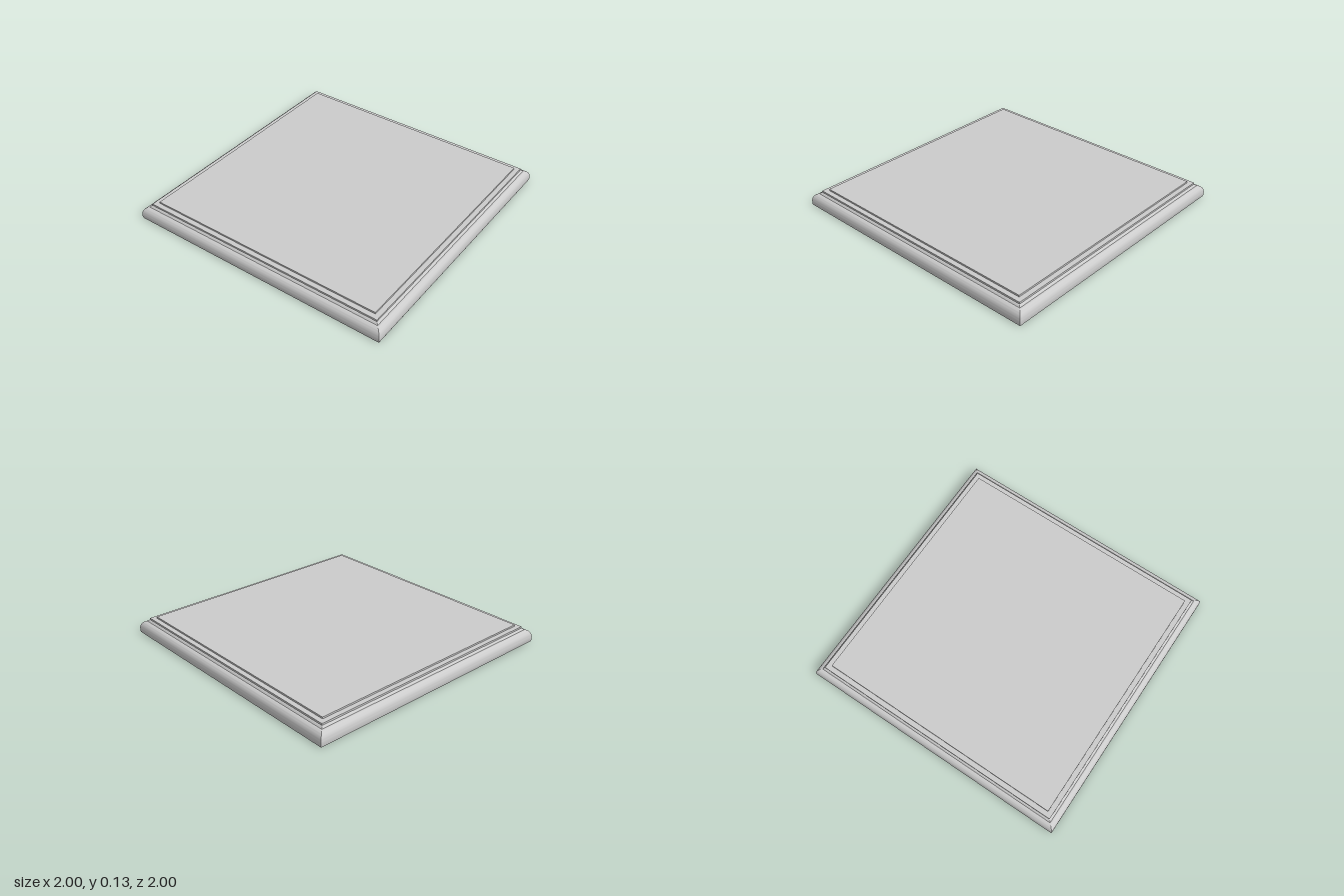
import * as THREE from 'three';
import { toCreasedNormals } from 'three/addons/utils/BufferGeometryUtils.js';

const TOP = 0.127, PANEL = 0.907;

// Moulding profile [distance from centre, height], from the panel edge down to the hem
function mouldingProfile() {
  const pts = [[PANEL, TOP], [PANEL, 0.115], [0.943, 0.115], [0.943, 0.102], [0.949, 0.1], [0.958, 0.09]];
  const steps = 10;
  for (let i = 0; i <= steps; i++) {
    const a = (1 - i / steps) * Math.PI / 2;
    pts.push([0.96 + 0.04 * Math.cos(a), 0.032 + 0.058 * Math.sin(a)]);
  }
  pts.push([1, 0.01], [0.996, 0]);
  return pts;
}

// One mitred side of the frame, facing +z
function sideGeometry(profile) {
  const pos = [];
  for (let i = 0; i < profile.length - 1; i++) {
    const [r0, y0] = profile[i], [r1, y1] = profile[i + 1];
    const a = [-r0, y0, r0], b = [r0, y0, r0], c = [-r1, y1, r1], d = [r1, y1, r1];
    pos.push(...a, ...c, ...b, ...b, ...c, ...d);
  }
  const g = new THREE.BufferGeometry();
  g.setAttribute('position', new THREE.Float32BufferAttribute(pos, 3));
  return toCreasedNormals(g, Math.PI / 7);
}

export function createModel() {
  const group = new THREE.Group();
  group.name = 'squarePlinth';
  const material = new THREE.MeshStandardMaterial({ color: 0xcccccc, side: THREE.DoubleSide });

  // Flat top panel, open underneath
  const panel = new THREE.Mesh(new THREE.PlaneGeometry(2 * PANEL, 2 * PANEL).rotateX(-Math.PI / 2), material);
  panel.position.y = TOP;
  panel.name = 'topPanel';
  group.add(panel);

  // Four identical moulded sides
  const side = sideGeometry(mouldingProfile());
  ['front', 'left', 'back', 'right'].forEach((name, i) => {
    const mesh = new THREE.Mesh(side, material);
    mesh.rotation.y = i * Math.PI / 2;
    mesh.name = name + 'Moulding';
    group.add(mesh);
  });
  return group;
}
